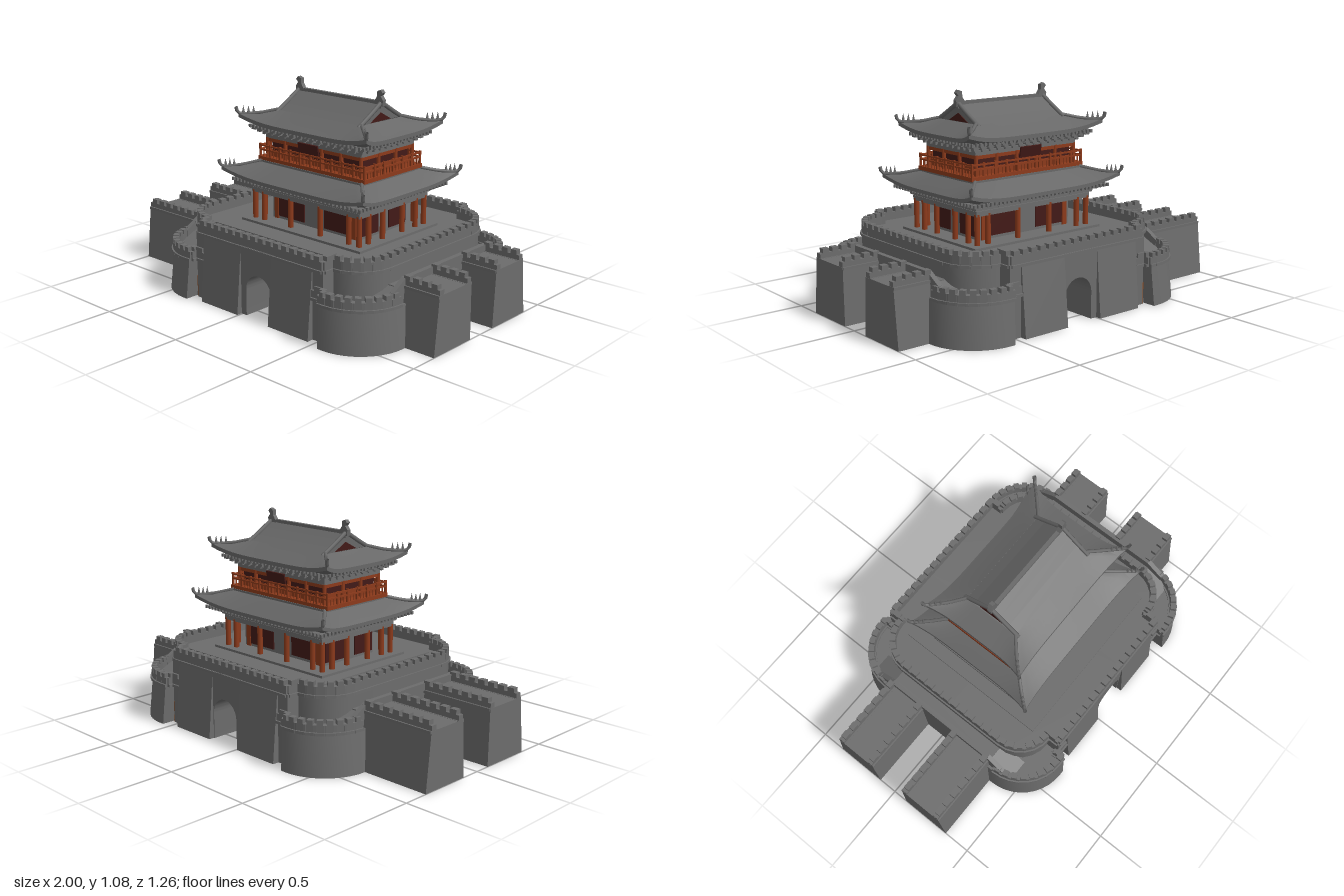
import * as THREE from 'three';
import { mergeGeometries, toCreasedNormals } from 'three/addons/utils/BufferGeometryUtils.js';

const mat = (name, color, side = THREE.FrontSide) => Object.assign(new THREE.MeshStandardMaterial({ color, side }), { name });
const SIGNS = [[1, 1], [-1, 1], [-1, -1], [1, -1]];

// ---- geometry helpers ----
function box(x0, x1, y0, y1, z0, z1) {
  return new THREE.BoxGeometry(x1 - x0, y1 - y0, z1 - z0).translate((x0 + x1) / 2, (y0 + y1) / 2, (z0 + z1) / 2);
}
// centred slab of half-width a and half-depth b
const slab = (a, b, y0, y1) => box(-a, a, y0, y1, -b, b);
// box whose upper corners are moved in by the given insets
function taper(x0, x1, y0, y1, z0, z1, ix0, ix1, iz0, iz1) {
  const g = box(x0, x1, y0, y1, z0, z1), p = g.attributes.position;
  const mx = (x0 + x1) / 2, mz = (z0 + z1) / 2;
  for (let i = 0; i < p.count; i++) {
    if (p.getY(i) < (y0 + y1) / 2) continue;
    p.setX(i, p.getX(i) + (p.getX(i) < mx ? ix0 : -ix1));
    p.setZ(i, p.getZ(i) + (p.getZ(i) < mz ? iz0 : -iz1));
  }
  g.computeVertexNormals();
  return g;
}
// upright solid from a ground plan; the top is scaled by s
function plan(pts, y0, y1, s = 1) {
  const g = new THREE.ExtrudeGeometry(new THREE.Shape(pts.map(([x, z]) => new THREE.Vector2(x, -z))), { depth: y1 - y0, bevelEnabled: false });
  g.rotateX(-Math.PI / 2).translate(0, y0, 0);
  const p = g.attributes.position;
  for (let i = 0; i < p.count; i++) if (p.getY(i) > (y0 + y1) / 2) p.setXYZ(i, p.getX(i) * s, p.getY(i), p.getZ(i) * s);
  return toCreasedNormals(g, 0.5);
}
function arc(cx, cz, r, n) {
  return Array.from({ length: n + 1 }, (_, i) => {
    const t = Math.PI / 2 * (1 - i / n);
    return [cx + r * Math.cos(t), cz + r * Math.sin(t)];
  });
}
const mirror = (pts, sx, sz) => pts.map(([x, z]) => [x * sx, z * sz]);
// battlement along a path: ledge, low wall and evenly spaced merlons
function battlement(pts, y0, y1, t = 0.03) {
  const out = [], gap = 0.022;
  for (let i = 0; i + 1 < pts.length; i++) {
    const [x0, z0] = pts[i], [x1, z1] = pts[i + 1];
    const len = Math.hypot(x1 - x0, z1 - z0), n = Math.max(1, Math.round(len / 0.055));
    const set = (g, f) => out.push(g.rotateY(-Math.atan2(z1 - z0, x1 - x0)).translate(x0 + (x1 - x0) * f, 0, z0 + (z1 - z0) * f));
    set(slab(len / 2 + 0.006, t / 2 + 0.008, y0, y0 + 0.014), 0.5);
    set(slab(len / 2 + 0.006, t / 2, y0, y1 - gap), 0.5);
    for (let k = 0; k < n; k++) set(slab(len / n * 0.32, t / 2, y1 - gap, y1), (k + 0.5) / n);
  }
  return out;
}
// repeats fn(x, z, facesX) around a rectangle
function around(a, b, step, fn) {
  const out = [], nx = Math.round(2 * a / step), nz = Math.round(2 * b / step);
  for (const s of [1, -1]) {
    for (let i = 0; i <= nx; i++) out.push(fn(-a + 2 * a * i / nx, s * b, false));
    for (let i = 1; i < nz; i++) out.push(fn(s * a, -b + 2 * b * i / nz, true));
  }
  return out;
}
// swept roof from rectangular loops [a, b, y, cornerLift, cornerPush]
function roofSkirt(levels, n = 20) {
  const pos = [], idx = [], N = 4 * n;
  for (const [a, b, y, lift, push] of levels) for (let k = 0; k < 4; k++) for (let i = 0; i < n; i++) {
    const t = -1 + 2 * i / n, f = Math.abs(t) ** 5;
    const [x, z] = [[a * t, b], [a, -b * t], [-a * t, -b], [-a, b * t]][k];
    pos.push(x * (1 + push * f), y + lift * f, z * (1 + push * f));
  }
  for (let j = 0; j + 1 < levels.length; j++) for (let i = 0; i < N; i++) {
    const p = j * N + i, q = j * N + (i + 1) % N;
    idx.push(p, q, q + N, p, q + N, p + N);
  }
  const g = new THREE.BufferGeometry();
  g.setAttribute('position', new THREE.Float32BufferAttribute(pos, 3));
  g.setIndex(idx);
  return toCreasedNormals(g, 0.6);
}
const tube = (pts, r) => new THREE.TubeGeometry(new THREE.CatmullRomCurve3(pts.map(p => new THREE.Vector3(...p))), 12, r, 6);
// hip ridges with upturned tips and small ridge figures
function hips(levels) {
  const c = levels.map(([a, b, y, lift, push]) => [a * (1 + push), y + lift, b * (1 + push)]);
  const path = [[c[0][0] + 0.008, c[0][1] + 0.03, c[0][2] + 0.008], ...c];
  return SIGNS.flatMap(([sx, sz]) => {
    const m = path.map(([x, y, z]) => [x * sx, y + 0.004, z * sz]);
    const figs = [0.25, 0.5, 0.75].map(f => {
      const [p, q] = [m[1], m[2]];
      return new THREE.ConeGeometry(0.009, 0.04, 5).translate(...p.map((v, i) => v + (q[i] - v) * f + (i === 1 ? 0.018 : 0)));
    });
    return [tube(m, 0.009), ...figs];
  });
}

export function createModel() {
  const stone = mat('grey stone', 0x6c6c6c);
  const tile = mat('grey roof tile', 0x686868, THREE.DoubleSide);
  const wood = mat('red brown wood', 0x8c3a1b);
  const door = mat('door brown', 0x8a4a22);
  const lattice = mat('dark maroon lattice', 0x421a17);

  const root = new THREE.Group(), base = new THREE.Group(), tower = new THREE.Group();
  root.name = 'gateTower'; base.name = 'fortress'; tower.name = 'pavilion';
  base.position.x = 0.1; tower.position.x = 0.115;
  root.add(base, tower);
  const part = (group, name, material, geos) => {
    const clean = geos.map(g => {
      const c = g.index ? g.toNonIndexed() : g;
      for (const k of Object.keys(c.attributes)) if (k !== 'position' && k !== 'normal') c.deleteAttribute(k);
      return c;
    });
    const m = new THREE.Mesh(mergeGeometries(clean), material);
    m.name = name;
    group.add(m);
  };

  // ---- fortress: four mirrored quarters around the gate passage ----
  const terraceEdge = [[0.43, 0.57], [0.43, 0.5], ...arc(0.435, 0.32, 0.18, 6)];
  const terrace = [[0.11, 0], [0.11, 0.57], ...terraceEdge, [0.615, 0]];
  const bastion = [[0.36, 0.2], [0.36, 0.56], [0.45, 0.56], [0.45, 0.632], ...arc(0.475, 0.37, 0.262, 10), [0.737, 0.2]];
  const terraceRail = [[0, 0.555], [0.415, 0.555], [0.415, 0.49], ...arc(0.43, 0.32, 0.17, 6), [0.6, 0]];
  const bastionRail = [[0.44, 0.56], [0.44, 0.6], ...arc(0.475, 0.37, 0.23, 8)];
  const quarter = fn => SIGNS.flatMap(([sx, sz]) => fn(sx, sz));
  part(base, 'terraceBody', stone, quarter((sx, sz) => [plan(mirror(terrace, sx, sz), 0, 0.35)]));
  part(base, 'cornerBastions', stone, quarter((sx, sz) => [plan(mirror(bastion, sx, sz), 0, 0.205, 0.975)]));
  part(base, 'terraceBattlements', stone, quarter((sx, sz) => battlement(mirror(terraceRail, sx, sz), 0.335, 0.412)));
  part(base, 'bastionBattlements', stone, quarter((sx, sz) => [
    ...battlement(mirror(bastionRail, sx, sz), 0.2, 0.27),
    ...battlement(mirror([[0.37, 0.565], [0.44, 0.565]], sx, sz), 0.2, 0.27)]));
  part(base, 'gateButtresses', stone, quarter((sx, sz) => {
    const [xa, xb] = [0.105 * sx, 0.365 * sx].sort((p, q) => p - q), [za, zb] = [0.5 * sz, 0.605 * sz].sort((p, q) => p - q);
    return [taper(xa, xb, 0, 0.335, za, zb, 0, 0, sz < 0 ? 0.03 : 0, sz > 0 ? 0.03 : 0)];
  }));
  part(base, 'sideDoors', door, quarter((sx, sz) => [slab(0.035, 0.004, 0, 0.11).translate(0.405 * sx, 0, 0.561 * sz)]));

  // arched passage running through the whole block
  const gate = new THREE.Shape();
  gate.moveTo(-0.115, 0).lineTo(-0.115, 0.35).lineTo(0.115, 0.35).lineTo(0.115, 0).lineTo(0.1, 0).lineTo(0.1, 0.135);
  gate.absarc(0.015, 0.135, 0.085, 0, Math.PI, false).lineTo(-0.07, 0);
  part(base, 'gatePassage', stone, [toCreasedNormals(new THREE.ExtrudeGeometry(gate, { depth: 1.15, bevelEnabled: false, curveSegments: 20 }).translate(0, 0, -0.575), 0.5)]);

  // side walkways sloping down to the bastions
  const profile = (pts, x0, x1) => new THREE.ExtrudeGeometry(new THREE.Shape(pts.map(p => new THREE.Vector2(...p))), { depth: x1 - x0, bevelEnabled: false })
    .rotateY(Math.PI / 2).translate(x0, 0, 0);
  const ramp = [[-0.48, 0.15], [-0.48, 0.2], [-0.32, 0.27], [0.32, 0.27], [0.48, 0.2], [0.48, 0.15]];
  const rampRail = [[-0.42, 0.15], [-0.42, 0.26], [-0.32, 0.32], [0.32, 0.32], [0.42, 0.26], [0.42, 0.15]];
  part(base, 'sideWalkways', stone, [1, -1].flatMap(s => [
    profile(ramp, s > 0 ? 0.58 : -0.69, s > 0 ? 0.69 : -0.58),
    profile(rampRail, s > 0 ? 0.68 : -0.705, s > 0 ? 0.705 : -0.68),
    slab(0.06, 0.33, 0, 0.27).translate(s * 0.645, 0, 0)]));

  // four walls running outwards
  const wings = [];
  for (const [x0, x1] of [[-1, -0.58], [0.78, 1]]) for (const [z0, z1, i0, i1] of [[0.08, 0.355, 0.005, 0.03], [-0.37, -0.1, 0.03, 0.015]]) {
    wings.push(taper(x0, x1, 0, 0.285, z0, z1, 0, 0, i0, i1));
    for (const z of [z0 + i0 + 0.018, z1 - i1 - 0.018]) wings.push(...battlement([[x0 + 0.007, z], [x1 - 0.007, z]], 0.272, 0.332));
  }
  part(root, 'outerWalls', stone, wings);

  // ---- pavilion, lower storey ----
  part(tower, 'plinth', stone, [slab(0.47, 0.42, 0.345, 0.358), slab(0.4, 0.3, 0.345, 0.37)]);
  const post = (x, z, y0, y1, r) => new THREE.CylinderGeometry(r, r, y1 - y0, 10).translate(x, (y0 + y1) / 2, z);
  part(tower, 'lowerColumns', wood, SIGNS.flatMap(([sx, sz]) => [
    ...[0.35, 0.285, 0.1].map(x => post(x * sx, 0.248 * sz, 0.365, 0.52, 0.014)),
    ...[0.18, 0.075].map(z => post(0.35 * sx, z * sz, 0.365, 0.52, 0.014)),
    slab(0.014, 0.004, 0.37, 0.51).translate(0.26 * sx, 0, 0.183 * sz)]));
  part(tower, 'lowerHall', stone, [slab(0.29, 0.18, 0.36, 0.56), slab(0.362, 0.26, 0.51, 0.535), slab(0.372, 0.27, 0.54, 0.552)]);
  part(tower, 'lowerLattices', lattice, SIGNS.flatMap(([sx, sz]) => [
    slab(0.088, 0.004, 0.385, 0.505).translate(0.155 * sx, 0, 0.182 * sz),
    slab(0.004, 0.065, 0.385, 0.505).translate(0.292 * sx, 0, 0.105 * sz)]));
  const brackets = (a, b, y, h, grow) => [0, 1, 2].flatMap(k => around(a + k * grow, b + k * grow, 0.045, (x, z) =>
    slab(0.009 + k * 0.003, 0.009 + k * 0.003, y + k * h, y + (k + 1) * h).translate(x, 0, z)));
  part(tower, 'lowerBrackets', stone, [...brackets(0.365, 0.262, 0.545, 0.012, 0.018), slab(0.39, 0.285, 0.575, 0.59)]);

  // lower roof
  const lowEave = [[0.442, 0.343, 0.6, 0.042, 0.07], [0.4, 0.29, 0.628, 0.014, 0.04], [0.335, 0.215, 0.665, 0, 0]];
  part(tower, 'lowerRoof', tile, [roofSkirt([[0.37, 0.27, 0.572, 0, 0], [0.442, 0.343, 0.582, 0.042, 0.07], ...lowEave])]);
  part(tower, 'lowerHipRidges', tile, [...hips(lowEave), slab(0.345, 0.222, 0.65, 0.672)]);
  const rafters = (a, b, y) => around(a, b, 0.025, (x, z) => slab(0.006, 0.006, y, y + 0.016).translate(x, 0, z));
  part(tower, 'lowerRafterEnds', stone, rafters(0.425, 0.328, 0.57));

  // ---- pavilion, upper storey ----
  part(tower, 'balcony', wood, [
    slab(0.355, 0.218, 0.67, 0.69),
    ...around(0.347, 0.21, 0.07, (x, z) => slab(0.005, 0.005, 0.69, 0.755).translate(x, 0, z)),
    ...around(0.347, 0.21, 0.0233, (x, z) => slab(0.002, 0.002, 0.69, 0.722).translate(x, 0, z)),
    ...[0.72, 0.742].flatMap(y => [1, -1].flatMap(s => [
      slab(0.352, 0.004, y, y + 0.008).translate(0, 0, s * 0.21),
      slab(0.004, 0.214, y, y + 0.008).translate(s * 0.347, 0, 0)]))]);
  part(tower, 'upperHall', lattice, [slab(0.295, 0.178, 0.66, 0.8)]);
  part(tower, 'upperColumns', wood, [
    ...around(0.31, 0.193, 0.125, (x, z) => post(x, z, 0.68, 0.79, 0.01)),
    slab(0.314, 0.197, 0.77, 0.787), slab(0.299, 0.182, 0.69, 0.725)]);
  part(tower, 'upperBeams', stone, [slab(0.318, 0.2, 0.788, 0.812), ...brackets(0.322, 0.203, 0.805, 0.013, 0.016), slab(0.34, 0.222, 0.825, 0.85)]);
  part(tower, 'plaque', lattice, [1, -1].map(s => slab(0.065, 0.004, 0.772, 0.825).rotateX(0.2 * s).translate(0, 0, s * (0.225 - 0.16 + 0.0)).translate(0, 0, s * 0.0)));

  // upper roof: swept skirt below a gabled top
  const upEave = [[0.392, 0.267, 0.872, 0.038, 0.08], [0.34, 0.21, 0.896, 0.012, 0.03], [0.275, 0.15, 0.927, 0, 0]];
  part(tower, 'upperRoof', tile, [roofSkirt([[0.33, 0.21, 0.842, 0, 0], [0.392, 0.267, 0.852, 0.038, 0.08], ...upEave])]);
  const gable = [[-0.15, 0.925], [-0.1, 0.952], [-0.05, 0.983], [0, 1.015], [0.05, 0.983], [0.1, 0.952], [0.15, 0.925]];
  part(tower, 'gabledTop', tile, [profile(gable, -0.265, 0.265)]);
  part(tower, 'gablePanels', lattice, [profile([[-0.075, 0.927], [0, 0.968], [0.075, 0.927]], -0.269, 0.269)]);
  part(tower, 'upperRafterEnds', stone, rafters(0.376, 0.251, 0.84));
  part(tower, 'upperRidges', tile, [
    ...hips(upEave), slab(0.275, 0.01, 0.99, 1.024),
    ...SIGNS.map(([sx, sz]) => tube([[0.27 * sx, 1.018, 0], [0.27 * sx, 0.987, 0.05 * sz], [0.27 * sx, 0.957, 0.1 * sz], [0.27 * sx, 0.92, 0.165 * sz]], 0.011))]);

  // curled ornaments on the ridge ends
  const curl = new THREE.Shape();
  curl.moveTo(0.22, 1.0).lineTo(0.285, 1.0).lineTo(0.288, 1.03).lineTo(0.272, 1.05).lineTo(0.285, 1.065).lineTo(0.272, 1.08);
  curl.lineTo(0.252, 1.072).lineTo(0.25, 1.045).lineTo(0.238, 1.028);
  part(tower, 'ridgeOrnaments', tile, [0, Math.PI].map(r => new THREE.ExtrudeGeometry(curl, { depth: 0.022, bevelEnabled: false }).translate(0, 0, -0.011).rotateY(r)));

  return root;
}
